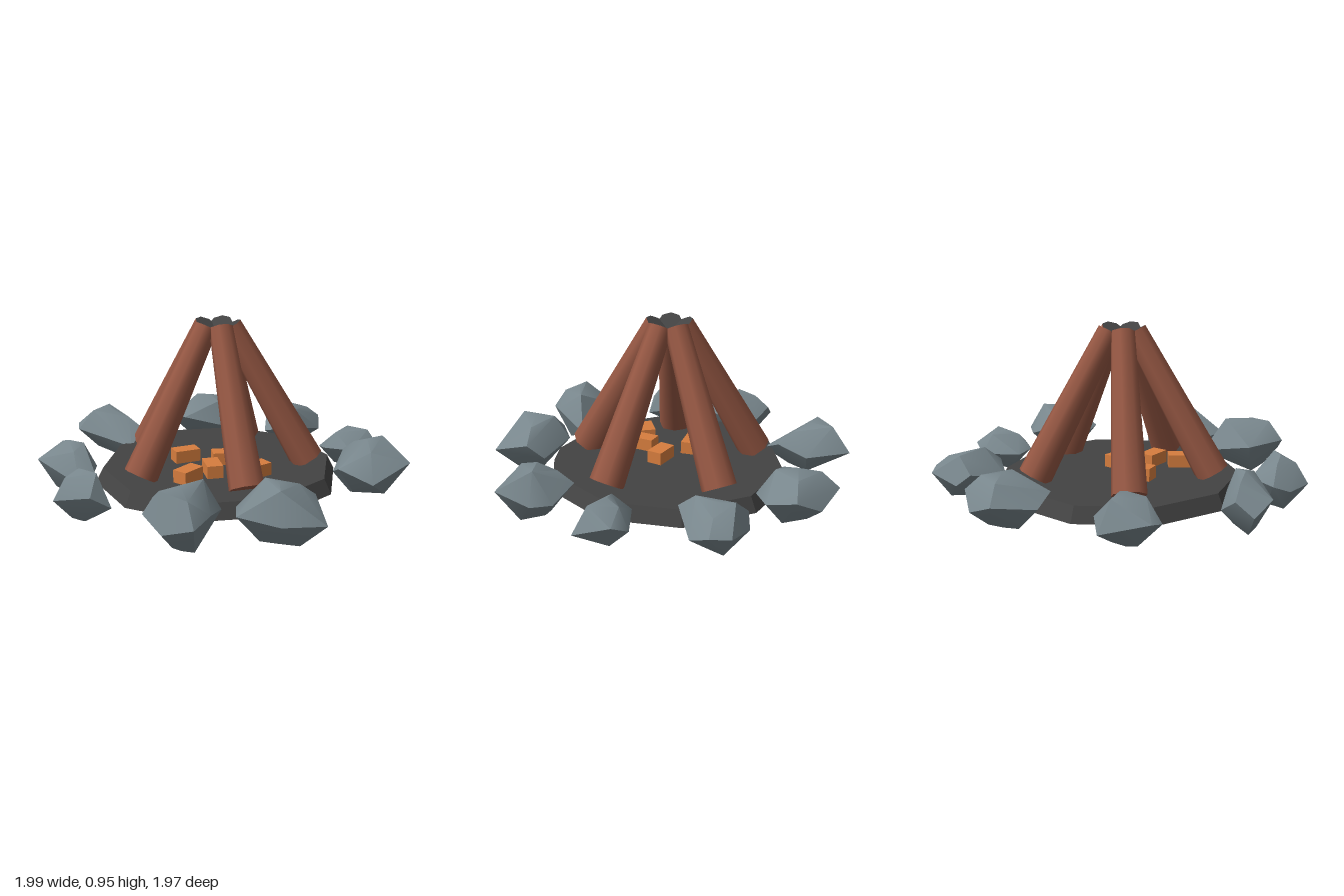
import * as THREE from 'three';
import { toCreasedNormals } from 'three/addons/utils/BufferGeometryUtils.js';
import { ConvexGeometry } from 'three/addons/geometries/ConvexGeometry.js';

const material = (name, color) => {
  const m = new THREE.MeshStandardMaterial({ color });
  m.name = name;
  return m;
};

// Ground outline [x, z] of each stone, with its lowest and highest point
const STONES = [
  { y: [0.04, 0.32], outline: [[-0.44, -0.75], [-0.37, -0.96], [-0.2, -0.99], [-0.06, -0.95], [0, -0.8], [-0.08, -0.66], [-0.33, -0.62]] },
  { y: [0.05, 0.29], outline: [[0.15, -0.83], [0.2, -0.89], [0.38, -0.95], [0.47, -0.89], [0.48, -0.77], [0.36, -0.56], [0.16, -0.62]] },
  { y: [0.05, 0.28], outline: [[0.5, -0.38], [0.65, -0.54], [0.75, -0.53], [0.86, -0.37], [0.68, -0.25], [0.53, -0.29]] },
  { y: [0.05, 0.35], outline: [[0.59, 0.06], [0.64, -0.1], [0.8, -0.14], [0.91, -0.1], [0.99, 0.08], [0.8, 0.24], [0.62, 0.2]] },
  { y: [0, 0.32], outline: [[0.15, 0.67], [0.22, 0.52], [0.44, 0.46], [0.52, 0.51], [0.59, 0.73], [0.38, 0.84], [0.17, 0.82]] },
  { y: [0.02, 0.34], outline: [[-0.25, 0.68], [0.07, 0.6], [0.06, 0.86], [0, 0.98], [-0.15, 0.98], [-0.25, 0.92]] },
  { y: [0.02, 0.3], outline: [[-0.77, 0.52], [-0.73, 0.44], [-0.6, 0.4], [-0.47, 0.63], [-0.56, 0.69], [-0.76, 0.65]] },
  { y: [0.02, 0.32], outline: [[-1, 0.09], [-0.92, 0.04], [-0.8, 0.05], [-0.66, 0.2], [-0.64, 0.32], [-0.71, 0.37], [-0.98, 0.22]] },
  { y: [0.04, 0.31], outline: [[-0.95, -0.45], [-0.83, -0.66], [-0.6, -0.54], [-0.54, -0.39], [-0.58, -0.25], [-0.93, -0.38]] },
];

// Convex stone: wavy waist, small tilted crown above and narrow keel below
function stoneGeometry({ y: [low, high], outline }, seed) {
  const n = outline.length, h = high - low;
  const cx = outline.reduce((s, p) => s + p[0], 0) / n;
  const cz = outline.reduce((s, p) => s + p[1], 0) / n;
  const points = [];
  outline.forEach(([x, z], i) => {
    const ring = (k, y) => points.push(new THREE.Vector3(cx + (x - cx) * k, y, cz + (z - cz) * k));
    ring(1, low + h * (0.52 + 0.14 * Math.sin(i * 2.4 + seed)));
    if (i % 2) ring(0.55, high - h * 0.07 * (1 + Math.cos(i * 1.6 + seed)));
    else ring(0.45, low + h * 0.07 * (1 + Math.sin(i * 1.3 + seed)));
  });
  points.push(new THREE.Vector3(cx, high, cz), new THREE.Vector3(cx, low, cz));
  return toCreasedNormals(new ConvexGeometry(points), 0.7);
}

export function createModel() {
  const model = new THREE.Group();
  model.name = 'campfire';
  const stone = material('grey stone', 0x78868c);
  const bark = material('brown bark', 0x955743);
  const char = material('charcoal', 0x434343);
  const ember = material('orange ember', 0xd67d3e);

  const add = (parent, name, geometry, mat) => {
    const mesh = new THREE.Mesh(geometry, mat);
    mesh.name = name;
    parent.add(mesh);
    return mesh;
  };

  // Fire pit in the middle of the stone ring
  const fire = new THREE.Group();
  fire.name = 'fire';
  fire.position.set(-0.045, 0, -0.035);
  model.add(fire);

  // Ten-sided ash bed
  const bed = new THREE.CylinderGeometry(0.625, 0.665, 0.08, 10);
  add(fire, 'ashBed', toCreasedNormals(bed, 0.3), char).position.y = 0.12;

  // Five leaning logs, charred at the top
  const up = new THREE.Vector3(0, 1, 0);
  for (let i = 0; i < 5; i++) {
    const a = THREE.MathUtils.degToRad(64 + i * 72);
    const at = (r, y) => new THREE.Vector3(r * Math.cos(a), y, r * Math.sin(a));
    const foot = at(0.49, 0.18), tip = at(0.07, 0.92);
    const axis = tip.clone().sub(foot);
    const log = add(fire, 'log', new THREE.CylinderGeometry(0.063, 0.092, axis.length(), 8), [bark, char, bark]);
    log.position.copy(foot).add(tip).multiplyScalar(0.5);
    log.quaternion.setFromUnitVectors(up, axis.normalize());
  }

  // Embers: x, z, turn
  [[-0.15, 0.28, 1.04], [0.19, 0.155, 0.78], [-0.04, 0.17, -1.2], [-0.22, -0.03, 0.55], [0, -0.02, 0.3]].forEach(([x, z, turn]) => {
    const mesh = add(model, 'ember', new THREE.BoxGeometry(0.14, 0.07, 0.085), ember);
    mesh.position.set(x, 0.193, z);
    mesh.rotation.y = turn;
  });

  // Ring of stones
  STONES.forEach((s, i) => add(model, 'stone', stoneGeometry(s, i * 1.7), stone));

  return model;
}
